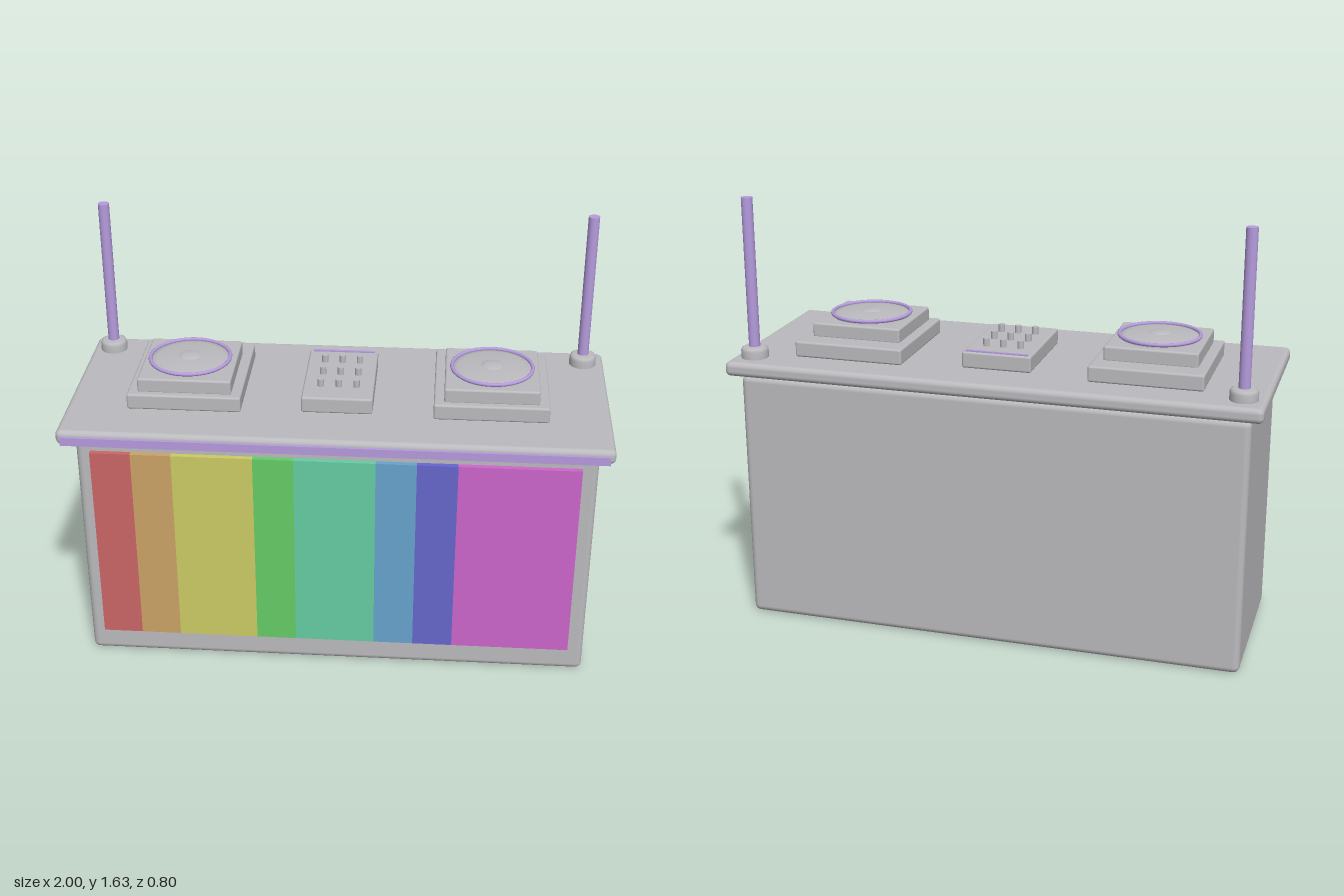
import * as THREE from 'three';
import { RoundedBoxGeometry } from 'three/addons/geometries/RoundedBoxGeometry.js';

export function createModel() {
  const model = new THREE.Group();
  model.name = 'musicBooth';

  const material = (name, color) => {
    const m = new THREE.MeshStandardMaterial({ color });
    m.name = name;
    return m;
  };
  const grey = material('grey', 0xbbbbbf);
  const purple = material('purple', 0xb59bdd);

  const add = (parent, name, geometry, mat, x = 0, y = 0, z = 0) => {
    const mesh = new THREE.Mesh(geometry, mat);
    mesh.name = name;
    mesh.position.set(x, y, z);
    parent.add(mesh);
    return mesh;
  };
  // Rounded box given by its limits
  const block = (parent, name, mat, [x0, x1], [y0, y1], [z0, z1], r) =>
    add(parent, name, new RoundedBoxGeometry(x1 - x0, y1 - y0, z1 - z0, 3, r), mat,
      (x0 + x1) / 2, (y0 + y1) / 2, (z0 + z1) / 2);

  // Cabinet, table top and glowing front edge
  block(model, 'cabinet', grey, [-0.955, 0.955], [0, 0.97], [-0.36, 0.29], 0.025);
  block(model, 'tableTop', grey, [-1, 1], [0.975, 1.03], [-0.4, 0.39], 0.02);
  add(model, 'frontEdgeStrip', new THREE.BoxGeometry(1.96, 0.032, 0.02), purple, 0, 0.995, 0.39);

  // Striped front panel
  const panel = new THREE.Group();
  panel.name = 'frontPanel';
  model.add(panel);
  const edges = [-0.9, -0.75, -0.6, -0.3, -0.15, 0.15, 0.3, 0.45, 0.895];
  const stripes = [
    ['red', 0xcc6666], ['orange', 0xcca366], ['yellow', 0xcccc66], ['green', 0x66cc66],
    ['teal', 0x66cca3], ['blue', 0x66a3cc], ['indigo', 0x6666cc], ['magenta', 0xcc66cc],
  ];
  stripes.forEach(([name, color], i) => {
    const w = edges[i + 1] - edges[i];
    add(panel, name + 'Stripe', new THREE.BoxGeometry(w, 0.795, 0.022), material(name, color),
      edges[i] + w / 2, 0.5025, 0.299);
  });

  // Turntables: two stepped plinths, a shallow domed platter, rim and hub
  const platter = new THREE.LatheGeometry([
    [0.145, 0], [0.145, 0.01], [0.125, 0.013], [0.09, 0.017], [0.045, 0.02], [0, 0.021],
  ].map(([r, y]) => new THREE.Vector2(r, y)), 48);
  const rim = new THREE.TorusGeometry(0.149, 0.007, 10, 48).rotateX(Math.PI / 2);
  const hub = new THREE.SphereGeometry(0.042, 24, 8, 0, Math.PI * 2, 0, Math.PI / 2).scale(1, 0.2, 1);
  for (const side of [-1, 1]) {
    const deck = new THREE.Group();
    deck.name = side > 0 ? 'leftTurntable' : 'rightTurntable';
    deck.position.x = side * 0.562;
    model.add(deck);
    block(deck, 'plinth', grey, [-0.21, 0.21], [1.03, 1.09], [-0.26, 0.2], 0.008);
    block(deck, 'upperPlinth', grey, [-0.173, 0.173], [1.085, 1.142], [-0.173, 0.173], 0.008);
    add(deck, 'platter', platter, grey, 0, 1.141, 0);
    add(deck, 'platterRim', rim, purple, 0, 1.154, 0);
    add(deck, 'hub', hub, grey, 0, 1.159, 0);
  }

  // Mixer with a grid of knobs
  const mixer = new THREE.Group();
  mixer.name = 'mixer';
  model.add(mixer);
  block(mixer, 'mixerBody', grey, [-0.132, 0.13], [1.03, 1.092], [-0.22, 0.18], 0.008);
  add(mixer, 'mixerLight', new THREE.BoxGeometry(0.235, 0.008, 0.01), purple, 0, 1.093, -0.208);
  const knob = new THREE.CylinderGeometry(0.012, 0.012, 0.032, 16);
  for (const x of [-0.067, 0, 0.065])
    for (const z of [-0.12, -0.02, 0.08]) add(mixer, 'knob', knob, grey, x, 1.105, z);

  // Light poles on rounded feet at the rear corners
  const foot = new THREE.LatheGeometry([
    [0.051, 0], [0.051, 0.028], [0.047, 0.038], [0.038, 0.043], [0, 0.043],
  ].map(([r, y]) => new THREE.Vector2(r, y)), 32);
  const pole = new THREE.CylinderGeometry(0.021, 0.021, 0.57, 24);
  for (const side of [-1, 1]) {
    const light = new THREE.Group();
    light.name = side > 0 ? 'leftLightPole' : 'rightLightPole';
    light.position.set(side * 0.918, 1.03, -0.3);
    model.add(light);
    add(light, 'poleFoot', foot, grey);
    add(light, 'pole', pole, purple, 0, 0.32, 0);
  }

  return model;
}
